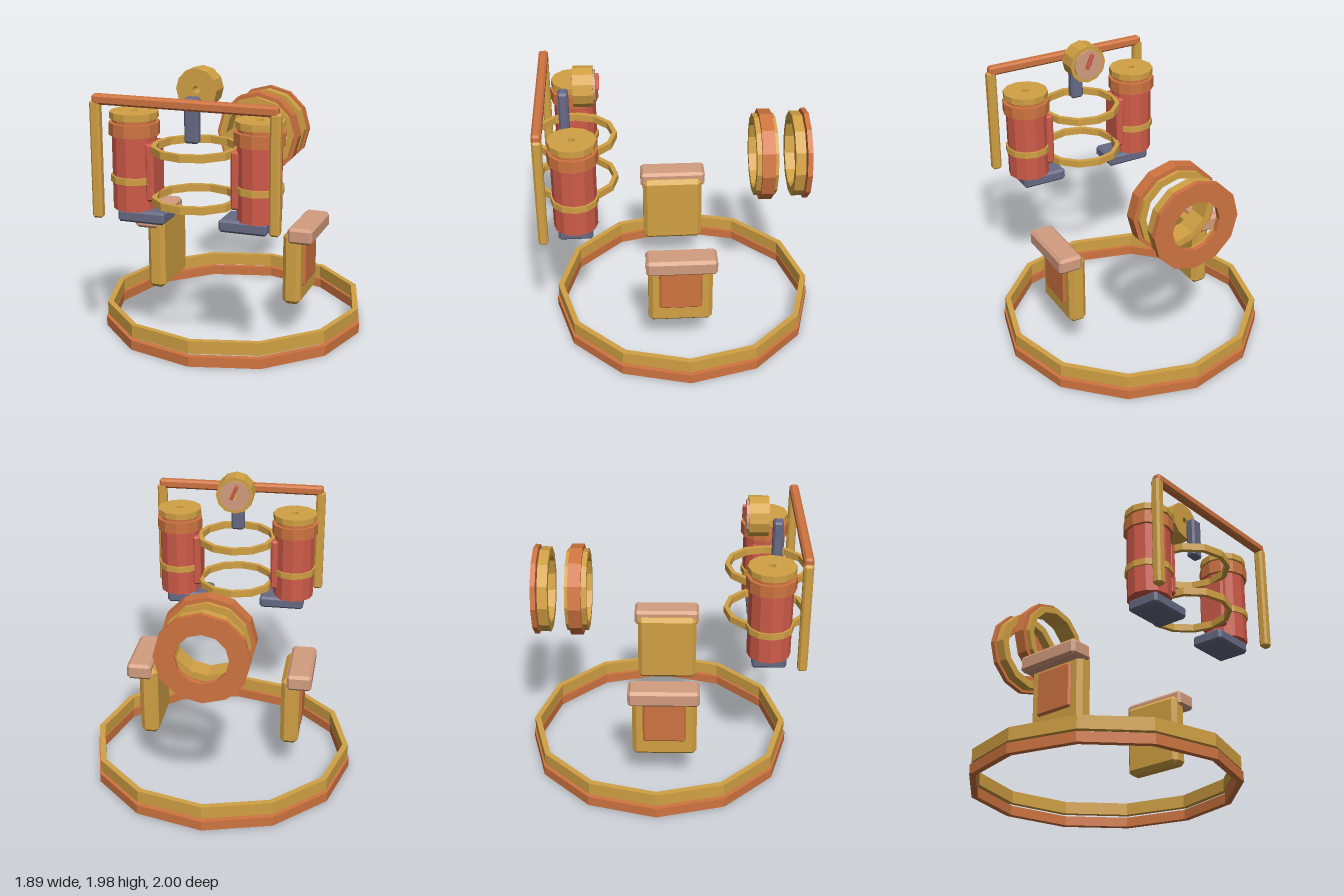
import * as THREE from 'three';
import { ConvexGeometry } from 'three/addons/geometries/ConvexGeometry.js';

const paint = (name, color) => {
  const m = new THREE.MeshStandardMaterial({ color, flatShading: true });
  m.name = name;
  return m;
};

export function createModel() {
  const gold = paint('brass', 0xd2a144);
  const copper = paint('copper', 0xcf7440);
  const red = paint('red enamel', 0xcf5b49);
  const slate = paint('slate', 0x666a84);
  const tan = paint('tan leather', 0xd39d80);
  const model = new THREE.Group();

  const add = (parent, name, geometry, material) => {
    const mesh = new THREE.Mesh(geometry, material);
    mesh.name = name;
    parent.add(mesh);
    return mesh;
  };

  // Box with chamfered edges, given by its min/max on each axis
  const block = (parent, name, material, [x0, x1], [y0, y1], [z0, z1], c) => {
    const half = [(x1 - x0) / 2, (y1 - y0) / 2, (z1 - z0) / 2];
    const points = [];
    for (const sx of [-1, 1]) for (const sy of [-1, 1]) for (const sz of [-1, 1])
      for (let face = 0; face < 3; face++) {
        const [a, b, d] = half.map((h, i) => (i === face ? h : h - c));
        points.push(new THREE.Vector3(sx * a, sy * b, sz * d));
      }
    const mesh = add(parent, name, new ConvexGeometry(points), material);
    mesh.position.set((x0 + x1) / 2, (y0 + y1) / 2, (z0 + z1) / 2);
    return mesh;
  };

  // Twelve-sided ring with a square section, running from a to b along its axis
  const ringGeometry = (inner, outer, a, b) => new THREE.LatheGeometry(
    [[inner, a], [outer, a], [outer, b], [inner, b], [inner, a]]
      .map(([r, y]) => new THREE.Vector2(r, y)), 12);

  const ring = (parent, name, material, inner, outer, [y0, y1], x, z) => {
    add(parent, name, ringGeometry(inner, outer, y0, y1), material).position.set(x, 0, z);
  };
  const facingRing = (parent, name, material, inner, outer, [z0, z1], y) => {
    const g = ringGeometry(inner, outer, z0, z1).rotateX(Math.PI / 2);
    add(parent, name, g, material).position.set(0, y, 0);
  };

  // Base hoops
  ring(model, 'lowerBaseHoop', copper, 0.9, 0.945, [0, 0.07], 0, -0.055);
  ring(model, 'upperBaseHoop', gold, 0.893, 0.934, [0.09, 0.18], 0, -0.055);

  // Round window at the back
  const porthole = new THREE.Group();
  porthole.name = 'porthole';
  model.add(porthole);
  facingRing(porthole, 'portholeTube', gold, 0.24, 0.29, [-0.695, -0.545], 1.27);
  facingRing(porthole, 'portholeBand', copper, 0.25, 0.32, [-0.67, -0.58], 1.27);
  facingRing(porthole, 'portholeInnerRim', gold, 0.24, 0.3, [-0.88, -0.81], 1.27);
  facingRing(porthole, 'portholeOuterRim', copper, 0.178, 0.317, [-0.925, -0.89], 1.27);

  // Hoops between the tanks
  for (const y of [1.095, 1.435])
    ring(model, 'frontHoop', gold, 0.263, 0.295, [y, y + 0.05], 0, 0.7);

  // Paired parts
  for (const s of [1, -1]) {
    const side = new THREE.Group();
    side.name = s > 0 ? 'leftSide' : 'rightSide';
    model.add(side);
    const span = (a, b) => (s > 0 ? [a, b] : [-b, -a]);

    // Armrest
    block(side, 'armPanel', gold, span(0.445, 0.575), [0.255, 0.78], [-0.23, 0.22], 0.03);
    block(side, 'armInset', copper, span(0.545, 0.592), [0.38, 0.7], [-0.155, 0.145], 0.014);
    block(side, 'armPad', tan, span(0.483, 0.66), [0.71, 0.825], [-0.255, 0.237], 0.02);

    // Tank with its bands and cap, hollow along the axis
    const x = s * 0.435;
    ring(side, 'tankBody', red, 0.025, 0.15, [1.025, 1.53], x, 0.7);
    ring(side, 'tankBand', gold, 0.14, 0.163, [1.21, 1.255], x, 0.7);
    ring(side, 'tankCollar', copper, 0.025, 0.17, [1.525, 1.61], x, 0.7);
    ring(side, 'tankNeck', copper, 0.025, 0.145, [1.6, 1.64], x, 0.7);
    ring(side, 'tankCap', gold, 0.025, 0.163, [1.635, 1.68], x, 0.7);
    block(side, 'tankFoot', slate, span(0.19, 0.52), [0.945, 1.03], [0.585, 0.82], 0.016);
    block(side, 'tankRail', red, span(0.265, 0.325), [1.095, 1.485], [0.6, 0.8], 0.015);

    // Post of the front frame
    block(side, 'framePost', gold, span(0.572, 0.642), [0.995, 1.78], [0.883, 0.947], 0.014);
  }
  block(model, 'frameBar', copper, [-0.625, 0.625], [1.755, 1.822], [0.883, 0.947], 0.014);

  // Gauge, its dial and its bracket
  const gauge = new THREE.Group();
  gauge.name = 'gauge';
  model.add(gauge);
  facingRing(gauge, 'gaugeCase', gold, 0.025, 0.139, [0.555, 0.69], 1.843);
  facingRing(gauge, 'gaugeDial', tan, 0.025, 0.112, [0.54, 0.56], 1.843);
  block(gauge, 'gaugeNeedle', red, [-0.013, 0.013], [1.818, 1.932], [0.514, 0.541], 0.004)
    .rotation.z = 0.4;
  block(gauge, 'gaugeBracket', slate, [-0.048, 0.048], [1.51, 1.81], [0.727, 0.797], 0.014);

  return model;
}
